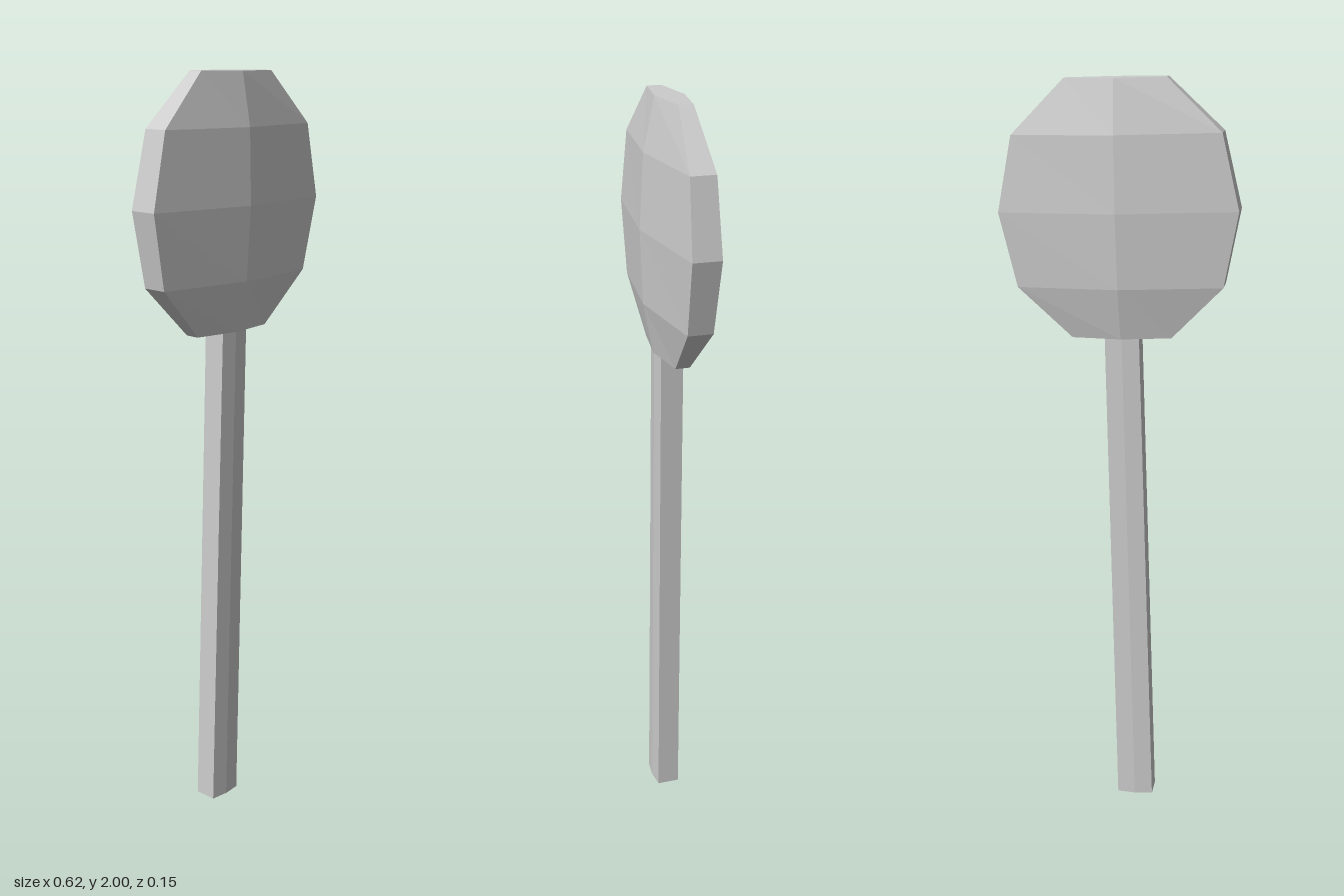
import * as THREE from 'three';

// Solid lofted through stretched hexagon sections: { y, x, w: half width, d: half depth, e: half depth at the side edges }
function loftHexagons(sections) {
  const rings = sections.map(({ y, x = 0, w, d, e }) =>
    [[w, e], [0, d], [-w, e], [-w, -e], [0, -d], [w, -e]].map(([px, pz]) => [x + px, y, pz]));
  const positions = [];
  const triangle = (a, b, c) => positions.push(...a, ...b, ...c);

  // Side bands
  for (let r = 0; r < rings.length - 1; r++) {
    for (let i = 0; i < 6; i++) {
      const j = (i + 1) % 6;
      const [low, high] = [rings[r], rings[r + 1]];
      triangle(low[i], high[i], high[j]);
      triangle(low[i], high[j], low[j]);
    }
  }
  // End caps
  const bottom = rings[0], top = rings[rings.length - 1];
  for (let i = 1; i < 5; i++) {
    triangle(bottom[0], bottom[i], bottom[i + 1]);
    triangle(top[0], top[i + 1], top[i]);
  }

  const geometry = new THREE.BufferGeometry();
  geometry.setAttribute('position', new THREE.Float32BufferAttribute(positions, 3));
  geometry.computeVertexNormals();
  return geometry;
}

export function createModel() {
  const model = new THREE.Group();
  model.name = 'paddle';
  const material = new THREE.MeshStandardMaterial({ color: 0xcccccc, flatShading: true });

  // Everything hangs off the head's centre, leaning and turned slightly
  const body = new THREE.Group();
  body.name = 'leaningBody';
  body.position.y = 1.668;
  body.rotation.set(0, 0.022, -0.028);
  model.add(body);

  const addPart = (name, sections) => {
    const mesh = new THREE.Mesh(loftHexagons(sections), material);
    mesh.name = name;
    body.add(mesh);
  };

  // Faceted head, mirrored above and below its widest section
  addPart('head', [-2, -1, 0, 1, 2].map((level) => {
    const step = Math.abs(level);
    const d = [0.075, 0.066, 0.038][step];
    return { y: Math.sign(level) * [0, 0.193, 0.328][step], w: [0.308, 0.267, 0.13][step], d, e: d / 2 };
  }));

  // Slightly tapered handle
  addPart('handle', [
    { y: -1.667, x: -0.004, w: 0.049, d: 0.035, e: 0.03 },
    { y: -0.325, x: -0.002, w: 0.045, d: 0.035, e: 0.03 },
  ]);

  return model;
}
